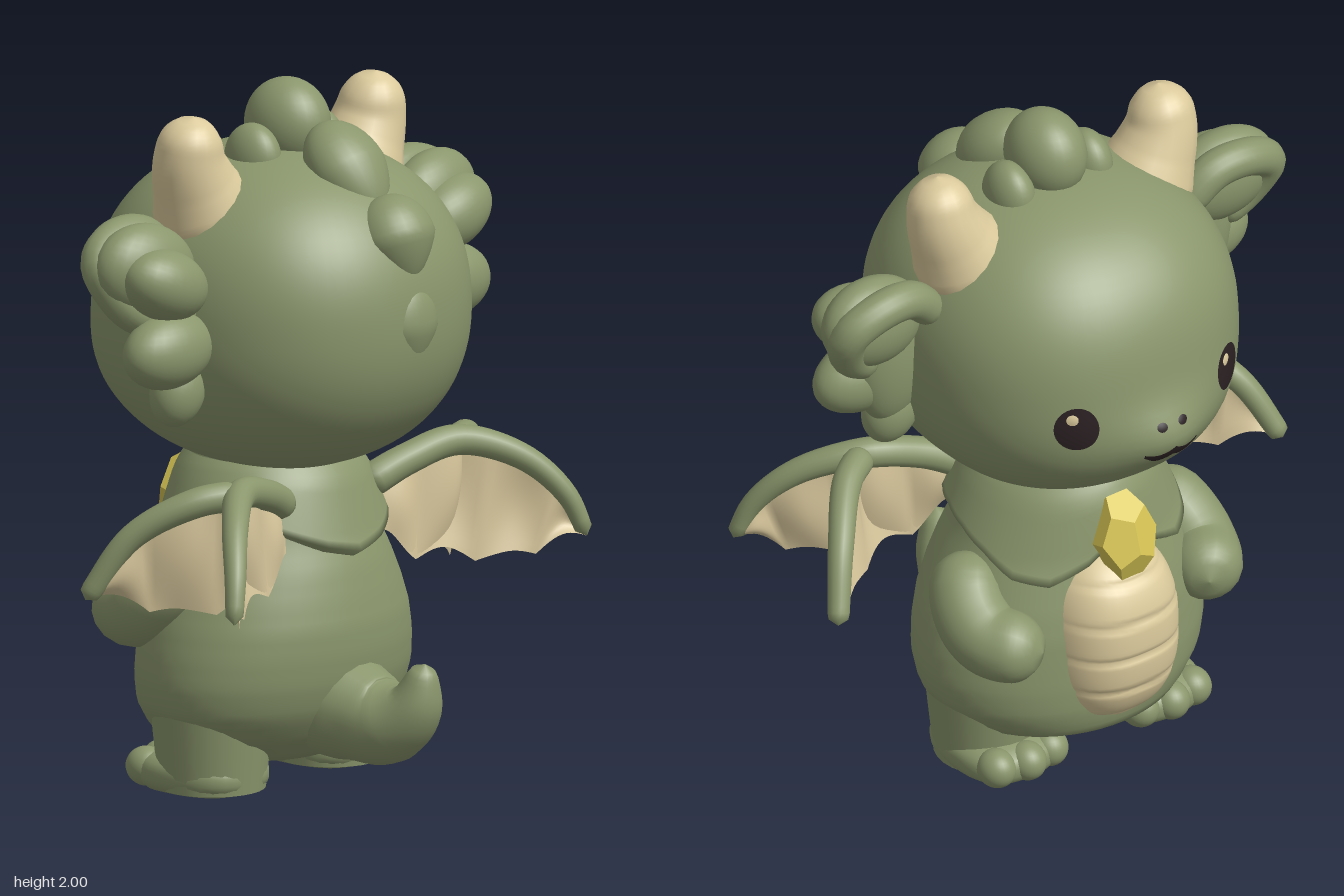
import * as THREE from 'three';
import { mergeVertices } from 'three/addons/utils/BufferGeometryUtils.js';

const { sin, cos, abs, sqrt, exp, max, min, sign, PI } = Math;
const mat = (name, color, extra = {}) => {
  const m = new THREE.MeshStandardMaterial({ color, ...extra });
  m.name = name;
  return m;
};
const V = p => new THREE.Vector3(...p);
const bell = x => exp(-x * x);

// Interpolates a list of numbers over t = 0..1
function sample(list, t) {
  const f = min(max(t, 0), 1) * (list.length - 1), i = min(Math.floor(f), list.length - 2);
  return THREE.MathUtils.lerp(list[i], list[i + 1], f - i);
}

// Moves each vertex by a rule, welds seams and smooths
function reshape(geo, rule) {
  const p = geo.attributes.position, v = new THREE.Vector3();
  for (let i = 0; i < p.count; i++) {
    v.fromBufferAttribute(p, i);
    rule(v, i);
    p.setXYZ(i, v.x, v.y, v.z);
  }
  geo.deleteAttribute('uv');
  geo.deleteAttribute('normal');
  const out = mergeVertices(geo, 1e-5);
  out.computeVertexNormals();
  return out;
}

// Surface from a function of u, v; its front is du x dv
function surface(fn, nu, nv) {
  const geo = new THREE.PlaneGeometry(1, 1, nu, nv);
  return reshape(geo, v => v.set(...fn(v.x + 0.5, v.y + 0.5)));
}

// Pushes a unit-sphere point out to a squarer superellipsoid
const squarer = (v, n) =>
  v.multiplyScalar((abs(v.x) ** n + abs(v.y) ** n + abs(v.z) ** n) ** (-1 / n));

// Rounded-end tube along points with varying radius
function limbGeometry(points, radii, n = 32) {
  const curve = new THREE.CatmullRomCurve3(points.map(V));
  const len = curve.getLength(), sides = 18;
  return reshape(new THREE.TubeGeometry(curve, n, 1, sides), (v, i) => {
    const t = Math.floor(i / (sides + 1)) / n, c = curve.getPointAt(t);
    let r = sample(radii, t);
    const a = radii[0] / len, b = radii[radii.length - 1] / len;
    if (t < a) r *= sqrt(max(0, 1 - ((a - t) / a) ** 2));
    if (t > 1 - b) r *= sqrt(max(0, 1 - ((t - 1 + b) / b) ** 2));
    v.sub(c).multiplyScalar(max(r, 1e-4)).add(c);
  });
}

// Squarish head with full cheeks and a soft snout
const HEAD = { y: 1.36, z: 0.01, rx: 0.5, ry: 0.46, rz: 0.515, n: 2.25 };
const snout = (x, y) => 0.04 * bell(x / 0.13) * bell((y - 1.22) / 0.09)
  + 0.05 * bell(x / 0.38) * bell((y - 1.15) / 0.17);
function faceZ(x, y) {
  const k = 1 - abs(x / HEAD.rx) ** HEAD.n - abs((y - HEAD.y) / HEAD.ry) ** HEAD.n;
  return HEAD.z - HEAD.rz * max(k, 0) ** (1 / HEAD.n) - snout(x, y);
}

// Body half-width, front and back depth, evenly spaced from y = 0.08 to 0.96
const BX = [0.2, 0.37, 0.43, 0.445, 0.438, 0.42, 0.392, 0.355, 0.315, 0.285, 0.255, 0.22];
const BF = [0.2, 0.32, 0.335, 0.335, 0.33, 0.325, 0.31, 0.29, 0.27, 0.26, 0.25, 0.22];
const BB = [0.16, 0.26, 0.31, 0.335, 0.345, 0.345, 0.33, 0.31, 0.28, 0.26, 0.24, 0.2];
function bodyPoint(angle, y, lift = 0) {
  const t = (y - 0.08) / 0.88, s = sin(angle), c = cos(angle);
  return [s * (sample(BX, t) + lift), y, -0.025 + c * (sample(c > 0 ? BB : BF, t) + lift)];
}

export function createModel() {
  const root = new THREE.Group();
  root.name = 'babyDragon';
  const green = mat('skinGreen', 0x8a966c);
  const cream = mat('hornCream', 0xdbca9c);
  const membrane = mat('membraneCream', 0xd8c79c, { side: THREE.DoubleSide });
  const dark = mat('eyeDark', 0x2a2022);
  const gold = mat('gemYellow', 0xd8c655);
  const add = (name, geo, m) => {
    const mesh = new THREE.Mesh(geo, m);
    mesh.name = name;
    root.add(mesh);
    return mesh;
  };
  // Ellipsoid, optionally narrowed toward its lower end
  const blob = (name, m, pos, size, rot = [0, 0, 0], taper = 0) => {
    const geo = reshape(new THREE.SphereGeometry(1, 28, 20), v => {
      const k = v.y < 0 ? 1 + v.y * taper : 1;
      v.set(v.x * size[0] * k, v.y * size[1], v.z * size[2] * k);
    });
    const mesh = add(name, geo, m);
    mesh.position.set(...pos);
    mesh.rotation.set(...rot);
  };
  const limb = (name, m, pts, radii, s = 1) =>
    add(name, limbGeometry(pts.map(([x, y, z]) => [x * s, y, z]), radii), m);
  // Thin disc that follows the face
  const facePatch = (name, m, cx, cy, rx, ry, lift) => add(name, surface((u, v) => {
    const x = cx + cos(u * 2 * PI) * rx * v, y = cy + sin(u * 2 * PI) * ry * v;
    return [x, y, faceZ(x, y) - lift * (1.3 - 0.3 * v * v)];
  }, 28, 5), m);

  // Head
  add('head', reshape(new THREE.SphereGeometry(1, 72, 54), v => {
    squarer(v, HEAD.n);
    const front = v.z < 0 ? min(1, -v.z * 4) : 0;
    v.set(v.x * HEAD.rx, HEAD.y + v.y * HEAD.ry, HEAD.z + v.z * HEAD.rz);
    v.z -= front * snout(v.x, v.y);
  }), green);

  // Crest from the crown down the back of the head
  blob('crestTop', green, [0, 1.87, 0.03], [0.11, 0.13, 0.13]);
  blob('crestUpper', green, [0, 1.765, 0.255], [0.122, 0.16, 0.1], [-0.75, 0, 0], 0.25);
  blob('crestMiddle', green, [0, 1.595, 0.43], [0.12, 0.13, 0.11], [-0.35, 0, 0], 0.4);
  blob('crestLower', green, [0, 1.355, 0.478], [0.1, 0.13, 0.065], [0, 0, 0], 0.4);

  // Mouth
  add('mouth', surface((u, v) => {
    const x = (0.5 - u) * 0.18;
    const y = 1.192 - 0.016 * abs(sin(PI * x / 0.09)) + (v - 0.5) * 0.032 * sqrt(max(0.15, sin(PI * u)));
    return [x, y, faceZ(x, y) - 0.006];
  }, 30, 3), dark);

  // Trunk
  add('body', surface((u, v) => {
    if (v === 0) return [0, 0.075, -0.03];
    return bodyPoint(u * 2 * PI, 0.08 + 0.88 * (v * 36 - 1) / 35);
  }, 56, 36), green);

  // Banded belly
  add('belly', reshape(new THREE.SphereGeometry(1, 48, 80), v => {
    squarer(v, 2.5);
    const groove = bell((((v.y + 1) * 2.6) % 1 - 0.5) / 0.07);
    v.set(v.x * 0.205, 0.44 + v.y * 0.285, -0.2 + v.z * 0.238 * (1 - 0.05 * groove));
  }), cream);

  // Shoulder cape: pointed behind, two flaps in front, hem tucked in
  add('cape', surface((u, v) => {
    const f = abs(u - 0.5) * 2;
    const low = sample([0.78, 0.69, 0.64, 0.66, 0.72, 0.76, 0.78, 0.77, 0.73, 0.69, 0.665], f);
    const lift = v === 0 ? -0.01 : 0.012 + 0.028 * sqrt(1 - v);
    return bodyPoint(u * 2 * PI, low + (0.94 - low) * v, lift);
  }, 80, 12), green);

  // Faceted gem at the throat
  const gem = add('gem', new THREE.DodecahedronGeometry(1, 0), gold);
  gem.scale.set(0.1, 0.135, 0.07);
  gem.position.set(0, 0.78, -0.335);
  gem.rotation.set(0.3, 0, 0);

  // Tail
  limb('tail', green, [[0, 0.27, 0.1], [0, 0.23, 0.28], [0, 0.215, 0.4], [0, 0.27, 0.495], [0, 0.4, 0.54]],
    [0.18, 0.165, 0.135, 0.115, 0.075, 0.03]);

  for (const s of [1, -1]) {
    const name = part => (s > 0 ? 'left' : 'right') + part;

    // Eyes and nostrils
    facePatch(name('Eye'), dark, 0.262 * s, 1.31, 0.055, 0.068, 0.007);
    facePatch(name('EyeGlint'), cream, 0.262 * s + 0.012, 1.342, 0.015, 0.017, 0.0098);
    facePatch(name('Nostril'), dark, 0.035 * s, 1.275, 0.016, 0.013, 0.005);

    // Horn and small crest knob
    limb(name('Horn'), cream, [[0.27, 1.58, -0.005], [0.325, 1.69, -0.005], [0.38, 1.82, 0], [0.385, 1.95, 0.02]],
      [0.14, 0.148, 0.118, 0.097, 0.078], s);
    blob(name('CrestKnob'), green, [0.135 * s, 1.79, 0.02], [0.065, 0.1, 0.09]);

    // Ear frill: merged lobes with a curled front rim
    blob(name('EarRoot'), green, [0.53 * s, 1.4, 0.05], [0.12, 0.22, 0.075]);
    blob(name('EarUpperLobe'), green, [0.605 * s, 1.55, 0.03], [0.175, 0.135, 0.095], [0, 0.1 * s, 0.25 * s]);
    blob(name('EarBackLobe'), green, [0.6 * s, 1.52, 0.1], [0.15, 0.1, 0.1], [0, 0, 0.35 * s]);
    blob(name('EarMiddleLobe'), green, [0.585 * s, 1.33, 0.1], [0.16, 0.108, 0.095], [0, 0, -0.05 * s]);
    blob(name('EarLowerLobe'), green, [0.51 * s, 1.2, 0.07], [0.085, 0.105, 0.072], [0, 0, 0.4 * s]);
    limb(name('EarRim'), green, [[0.43, 1.54, -0.03], [0.53, 1.63, -0.045], [0.64, 1.635, -0.05],
      [0.725, 1.58, -0.03], [0.69, 1.47, 0.02], [0.6, 1.4, 0.04]], [0.05, 0.055, 0.055, 0.055, 0.055, 0.05], s);

    // Arm and mitten paw
    limb(name('Arm'), green, [[0.3, 0.68, -0.02], [0.37, 0.58, -0.1], [0.37, 0.51, -0.2], [0.29, 0.505, -0.345]],
      [0.08, 0.105, 0.108, 0.105, 0.095], s);

    // Leg, foot and toes
    const leg = add(name('Leg'), new THREE.CylinderGeometry(0.185, 0.15, 0.34, 28), green);
    leg.position.set(0.25 * s, 0.18, -0.03);
    add(name('Foot'), reshape(new THREE.SphereGeometry(1, 32, 20), v => {
      squarer(v, 2.6);
      v.set(0.25 * s + v.x * 0.155, max(0, 0.05 + v.y * 0.07), -0.065 + v.z * 0.185);
    }), green);
    for (const i of [-1, 0, 1])
      blob(name('Toe'), green, [(0.25 + i * 0.09) * s, 0.058, -0.215 + abs(i) * 0.02], [0.055, 0.056, 0.06]);

    // Wing: arm with rear finger and forward spur, each carrying a scalloped membrane
    const arm = [[0.16, 0.82, 0.16], [0.3, 0.885, 0.21], [0.46, 0.92, 0.26]];
    const rear = [...arm, [0.61, 0.86, 0.37], [0.7, 0.75, 0.45], [0.745, 0.63, 0.485]];
    const spur = [...arm, [0.57, 0.905, 0.19], [0.69, 0.81, 0.06], [0.775, 0.63, -0.04]];
    limb(name('WingArm'), green, rear, [0.05, 0.045, 0.044, 0.038, 0.032, 0.024], s);
    limb(name('WingSpur'), green, spur.slice(2), [0.044, 0.042, 0.038, 0.034, 0.03], s);
    const hemRoot = [[0.2, 0.7, 0.2], [0.28, 0.61, 0.225]];
    const panels = [
      ['RearMembrane', rear, [...hemRoot, [0.42, 0.59, 0.26], [0.55, 0.565, 0.34], [0.65, 0.595, 0.42], rear[5]]],
      ['FrontMembrane', spur, [...hemRoot, [0.42, 0.59, 0.235], [0.56, 0.565, 0.15], [0.67, 0.6, 0.06], spur[5]]],
    ];
    for (const [part, bone, edge] of panels) {
      const top = new THREE.CatmullRomCurve3(bone.map(V));
      const hem = new THREE.CatmullRomCurve3(edge.map(V));
      const lean = sign(edge[3][2] - 0.25);
      add(name(part), surface((u, v) => {
        const fold = abs(sin(u * 4 * PI)), billow = 0.02 * sin(PI * v) * fold;
        const p = hem.getPoint(u);
        p.y += 0.03 * fold;
        p.lerp(top.getPoint(u), v);
        return [(p.x + billow * 0.6) * s, p.y, p.z - billow * lean];
      }, 48, 10), membrane);
    }
  }
  return root;
}
